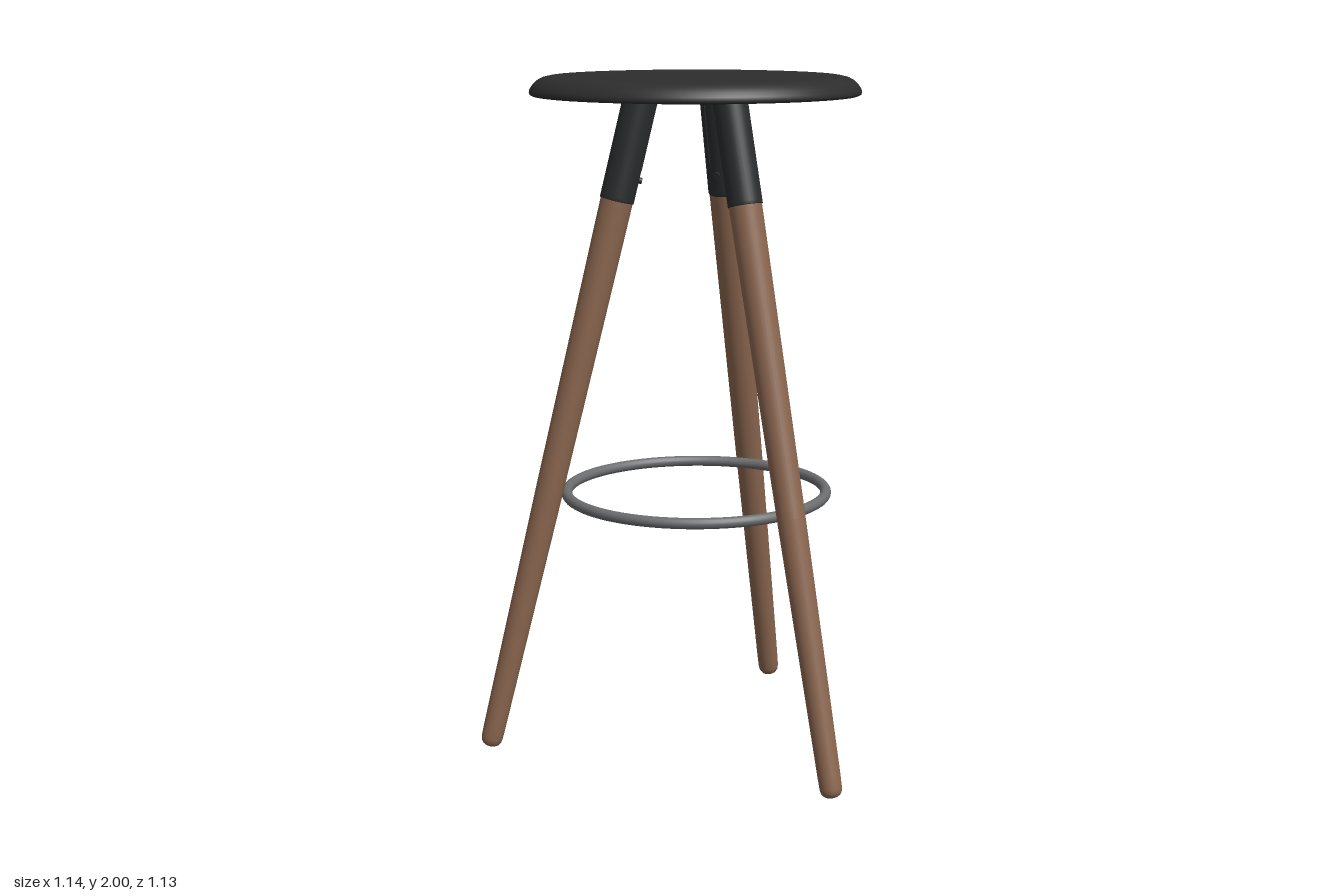
import * as THREE from 'three';

const SEAT_Z = -0.0925; // common axis of seat, ring and legs
const TILT = 0.239; // outward splay of each leg

const black = new THREE.MeshStandardMaterial({ color: 0x2d2d2d });
black.name = 'black seat';
const collarBlack = new THREE.MeshStandardMaterial({ color: 0x2a2c2d });
collarBlack.name = 'black collar';
const wood = new THREE.MeshStandardMaterial({ color: 0x8b664f });
wood.name = 'walnut wood';
const steel = new THREE.MeshStandardMaterial({ color: 0x6c6d6f });
steel.name = 'steel';

function addMesh(parent, name, geometry, material) {
  const mesh = new THREE.Mesh(geometry, material);
  mesh.name = name;
  parent.add(mesh);
  return mesh;
}

function lathe(points, segments) {
  return new THREE.LatheGeometry(points.map(([r, y]) => new THREE.Vector2(r, y)), segments);
}

// One leg along its own axis, foot at the origin, leaning in towards the seat
function createLeg() {
  const leg = new THREE.Group();
  leg.name = 'leg';
  addMesh(leg, 'legShaft', lathe([
    [0, 0], [0.016, 0.001], [0.024, 0.006], [0.03, 0.015], [0.032, 0.027],
    [0.033, 0.06], [0.041, 0.8], [0.0475, 1.7],
  ], 32), wood);
  addMesh(leg, 'legCollar', lathe([
    [0.044, 1.69], [0.049, 1.69], [0.05, 1.692], [0.05, 1.7], [0.05, 1.99], [0.049, 2.005], [0, 2.005],
  ], 32), collarBlack);

  // Moulded ribs and a fixing screw on the inner face of the collar
  for (const a of [-0.5, 0.5]) {
    const rib = addMesh(leg, 'collarRib', new THREE.BoxGeometry(0.008, 0.2, 0.008), collarBlack);
    rib.position.set(Math.sin(a) * 0.049, 1.89, -Math.cos(a) * 0.049);
    rib.rotation.y = -a;
  }
  const screw = addMesh(leg, 'collarScrew', new THREE.CylinderGeometry(0.009, 0.009, 0.012, 16), collarBlack);
  screw.rotation.x = Math.PI / 2;
  screw.position.set(0, 1.76, -0.052);

  leg.position.set(0, 0.004, 0.63);
  leg.rotation.x = -TILT;
  return leg;
}

export function createModel() {
  const stool = new THREE.Group();
  stool.name = 'barStool';
  const body = new THREE.Group();
  body.name = 'stoolBody';
  body.position.z = SEAT_Z;
  stool.add(body);

  // Round seat: shallow dish above, slight belly below
  addMesh(body, 'seat', lathe([
    [0, 1.926], [0.1, 1.928], [0.2, 1.934], [0.32, 1.942], [0.44, 1.945], [0.468, 1.945],
    [0.475, 1.948], [0.477, 1.954], [0.475, 1.963], [0.467, 1.975], [0.455, 1.987],
    [0.44, 1.995], [0.42, 1.9995], [0.4, 2], [0.36, 1.998], [0.28, 1.993], [0.15, 1.989], [0, 1.988],
  ], 96), black);

  // Footrest ring held inside the legs
  const ring = addMesh(body, 'footrestRing', new THREE.TorusGeometry(0.386, 0.016, 16, 96), steel);
  ring.rotation.x = Math.PI / 2;
  ring.position.y = 0.776;

  // Three splayed legs
  for (let i = 0; i < 3; i++) {
    const arm = new THREE.Group();
    arm.name = ['frontLeg', 'backLeftLeg', 'backRightLeg'][i];
    arm.rotation.y = (i * 2 * Math.PI) / 3;
    arm.add(createLeg());
    body.add(arm);
  }
  return stool;
}
